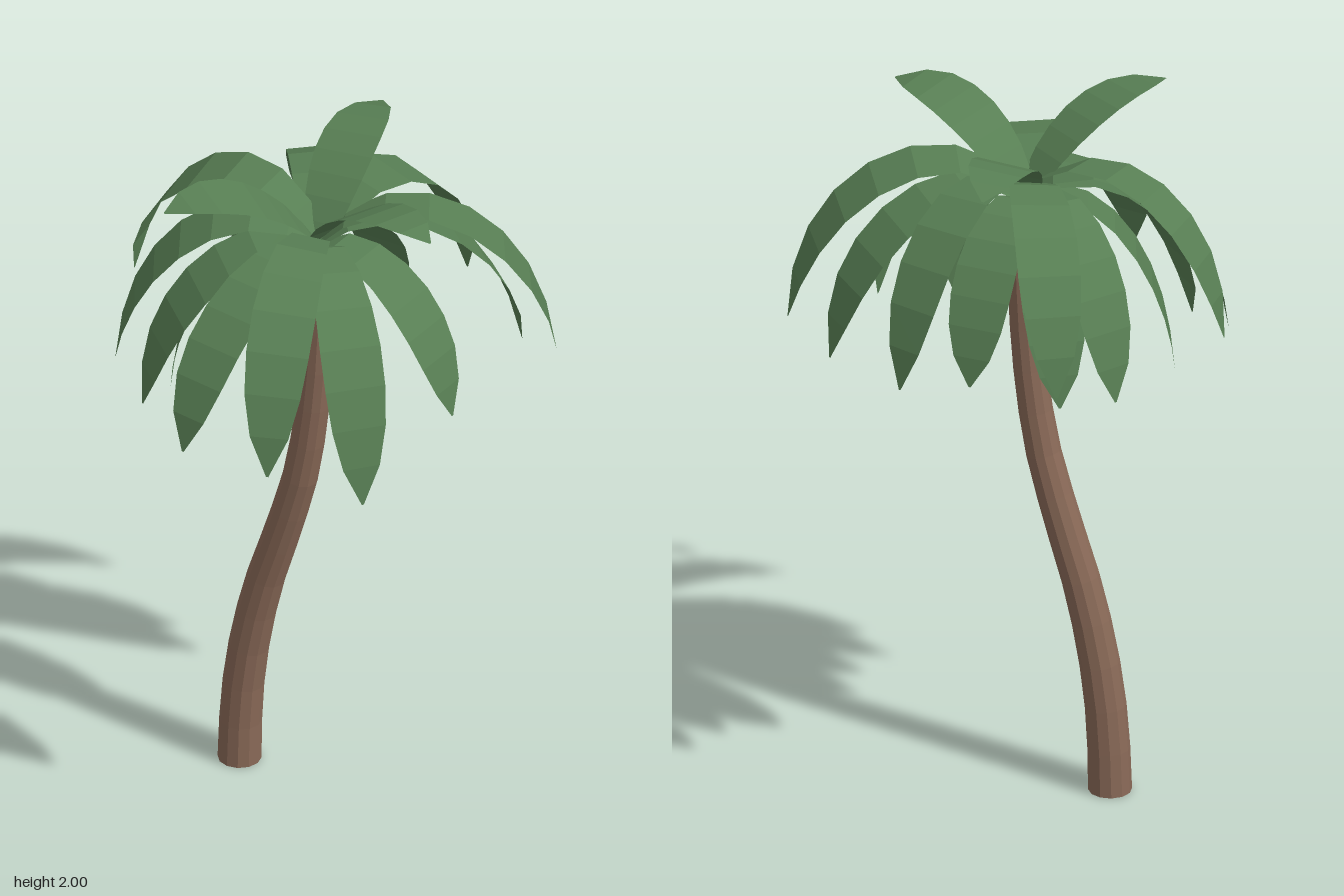
import * as THREE from 'three';

const V = (x, y, z) => new THREE.Vector3(x, y, z);
const UP = V(0, 1, 0);
const CROWN = V(0.025, 1.75, 0);

// Half widths from the stalk to the point of a leaf
const LEAF_WIDTHS = [0.02, 0.054, 0.07, 0.081, 0.087, 0.086, 0.077, 0.053, 0.003];

// Drooping leaves: tip x, y, z, the height of the arch and the sideways roll
const DROOPING = [
  [-0.575, 1.46, 0.01, 1.895, 0.16],
  [0.12, 1.41, -0.575, 1.87, -0.1],
  [0.57, 1.43, -0.355, 1.88, 0.1],
  [0.41, 1.37, -0.42, 1.79, 0.1],
  [0.47, 1.36, -0.005, 1.71, 0],
  [0.41, 1.23, 0.335, 1.74, 0.1],
  [0.25, 1.38, 0.56, 1.83, 0.1],
  [-0.02, 1.37, 0.575, 1.72, 0],
  [-0.30, 1.31, 0.365, 1.72, 0.1],
  [-0.46, 1.35, 0.265, 1.80, 0.1],
  [-0.35, 1.24, 0.16, 1.70, 0.1],
  [-0.37, 1.33, -0.24, 1.77, 0.1],
  [-0.31, 1.44, -0.48, 1.87, 0.1],
  [-0.25, 1.33, -0.34, 1.72, 0],
  [0.0, 1.36, -0.39, 1.70, 0],
];

// Upright young leaves: tip x, y, z
const UPRIGHT = [
  [0.47, 1.975, 0.1],
  [-0.2, 1.985, 0.405],
  [-0.06, 1.96, -0.43],
];

// A flat blade swept along an arching curve, rolled slightly to one side
function leafGeometry(curve, roll) {
  const positions = [], index = [];
  const n = LEAF_WIDTHS.length - 1;
  const ends = curve.getPoint(1).sub(curve.getPoint(0));
  const out = V(ends.x, 0, ends.z).normalize();
  for (let i = 0; i <= n; i++) {
    const p = curve.getPointAt(i / n);
    const tangent = curve.getTangentAt(i / n);
    const side = out.clone().cross(UP).applyAxisAngle(tangent, -roll);
    for (const s of [-1, 1]) {
      const q = p.clone().addScaledVector(side, s * LEAF_WIDTHS[i]);
      positions.push(q.x, q.y, q.z);
    }
    if (i < n) {
      const a = i * 2;
      index.push(a, a + 1, a + 2, a + 1, a + 3, a + 2);
    }
  }
  const g = new THREE.BufferGeometry();
  g.setAttribute('position', new THREE.Float32BufferAttribute(positions, 3));
  g.setIndex(index);
  g.computeVertexNormals();
  return g;
}

// Arch from the crown to a tip; the handles are [share of reach, height]
function leafCurve([x, y, z], h1, h2) {
  const tip = V(x, y, z);
  const out = V(x - CROWN.x, 0, z - CROWN.z).normalize();
  const base = CROWN.clone().addScaledVector(out, -0.01);
  const handle = ([share, height]) => base.clone().lerp(tip, share).setY(height);
  return new THREE.CubicBezierCurve3(base, handle(h1), handle(h2), tip);
}

// Leaning trunk: a tapered cylinder bent along a curve
function trunkGeometry() {
  const path = new THREE.CatmullRomCurve3([
    V(-0.23, 0, 0.005), V(-0.222, 0.2, 0.005), V(-0.195, 0.4, 0.005), V(-0.148, 0.6, 0.005),
    V(-0.083, 0.8, 0.005), V(-0.025, 1.0, 0.005), V(0.015, 1.25, 0.005), V(0.034, 1.5, 0.006),
    V(0.04, 1.74, 0.006),
  ]);
  const g = new THREE.CylinderGeometry(0.04, 0.06, 1, 12, 14);
  const pos = g.attributes.position;
  for (let i = 0; i < pos.count; i++) {
    const t = pos.getY(i) + 0.5;
    const c = path.getPointAt(t);
    const along = path.getTangentAt(t);
    if (t < 0.01) along.copy(UP);
    const across = V(along.y, -along.x, 0).normalize();
    const p = c.addScaledVector(across, pos.getX(i));
    pos.setXYZ(i, p.x, p.y, p.z + pos.getZ(i));
  }
  g.computeVertexNormals();
  return g;
}

export function createModel() {
  const model = new THREE.Group();
  model.name = 'palmTree';
  const bark = new THREE.MeshStandardMaterial({ color: 0x8a6a58, flatShading: true });
  const green = new THREE.MeshStandardMaterial({
    color: 0x587f54, flatShading: true, side: THREE.DoubleSide,
  });

  const trunk = new THREE.Mesh(trunkGeometry(), bark);
  trunk.name = 'trunk';
  model.add(trunk);

  const crown = new THREE.Group();
  crown.name = 'crown';
  model.add(crown);
  const addLeaf = (name, curve, roll) => {
    const leaf = new THREE.Mesh(leafGeometry(curve, roll), green);
    leaf.name = name;
    crown.add(leaf);
  };
  DROOPING.forEach((d, i) => addLeaf(
    `droopingLeaf${i + 1}`, leafCurve(d, [0.3, d[3] + 0.16], [0.93, d[3] - 0.03]), d[4]));
  UPRIGHT.forEach((d, i) => addLeaf(
    `uprightLeaf${i + 1}`, leafCurve(d, [0.25, 1.94], [0.65, 2.04]), 0.1));
  return model;
}
